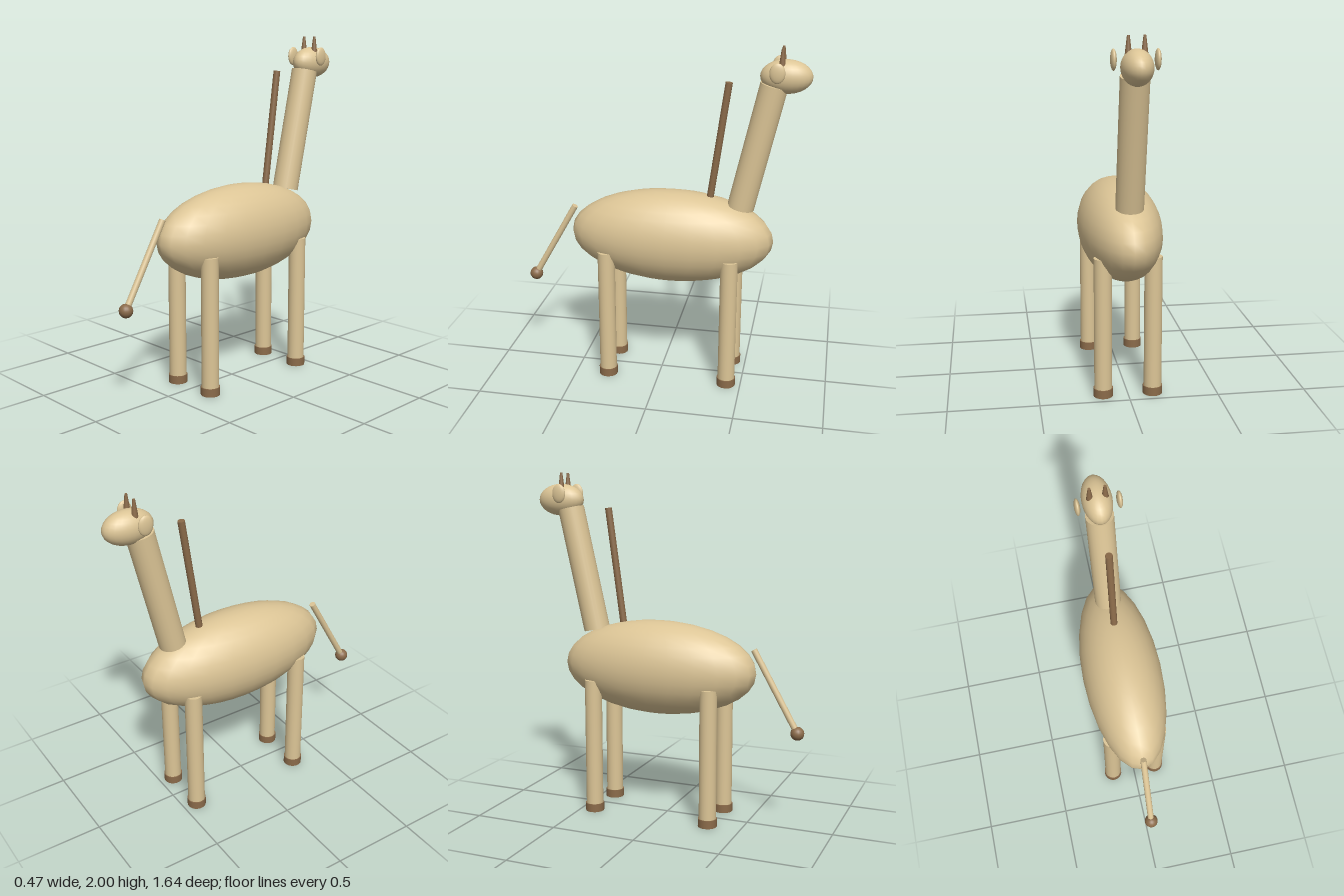
import * as THREE from 'three';

const tan = new THREE.MeshStandardMaterial({ color: 0xdcc596 });
const brown = new THREE.MeshStandardMaterial({ color: 0x8b6b4a });

export function createModel() {
  const model = new THREE.Group();

  const add = (name, geometry, material, x, y, z) => {
    const mesh = new THREE.Mesh(geometry, material);
    mesh.name = name;
    mesh.position.set(x, y, z);
    model.add(mesh);
    return mesh;
  };

  // Sphere stretched to the given radii
  const ellipsoid = (name, material, [x, y, z], [rx, ry, rz], segments = 24) =>
    add(name, new THREE.SphereGeometry(1, segments, 16).scale(rx, ry, rz), material, x, y, z);

  // Round rod in the x = 0 plane, from (y, z) to (y, z)
  const rod = (name, material, [y0, z0], [y1, z1], radius, segments = 24) => {
    const dy = y1 - y0, dz = z1 - z0;
    const geometry = new THREE.CylinderGeometry(radius, radius, Math.hypot(dy, dz), segments);
    const mesh = add(name, geometry, material, 0, (y0 + y1) / 2, (z0 + z1) / 2);
    mesh.rotation.x = Math.atan2(dz, dy);
    return mesh;
  };

  // Trunk, neck and head
  ellipsoid('body', tan, [0, 0.88, -0.055], [0.235, 0.275, 0.595]);
  rod('neck', tan, [1.082, -0.456], [1.795, -0.617], 0.077);
  ellipsoid('head', tan, [0, 1.843, -0.68], [0.082, 0.093, 0.142]);

  // Mane standing behind the neck
  rod('mane', brown, [1.135, -0.281], [1.798, -0.372], 0.02, 16);

  // Tail with its tuft
  rod('tail', tan, [1.02, 0.524], [0.562, 0.784], 0.018, 16);
  ellipsoid('tailTuft', brown, [0, 0.562, 0.784], [0.039, 0.039, 0.039], 16);

  // Paired parts
  for (const [side, s] of [['left', 1], ['right', -1]]) {
    ellipsoid(side + 'Ear', tan, [s * 0.112, 1.88, -0.637], [0.016, 0.055, 0.042], 16);
    add(side + 'Horn', new THREE.CylinderGeometry(0.007, 0.019, 0.1, 16), brown, s * 0.041, 1.95, -0.657);

    for (const [end, z] of [['Front', -0.415], ['Hind', 0.305]]) {
      add(side + end + 'Leg', new THREE.CylinderGeometry(0.05, 0.05, 0.78, 24), tan, s * 0.14, 0.41, z);
      add(side + end + 'Hoof', new THREE.CylinderGeometry(0.055, 0.055, 0.048, 24), brown, s * 0.14, 0.024, z);
    }
  }
  return model;
}
